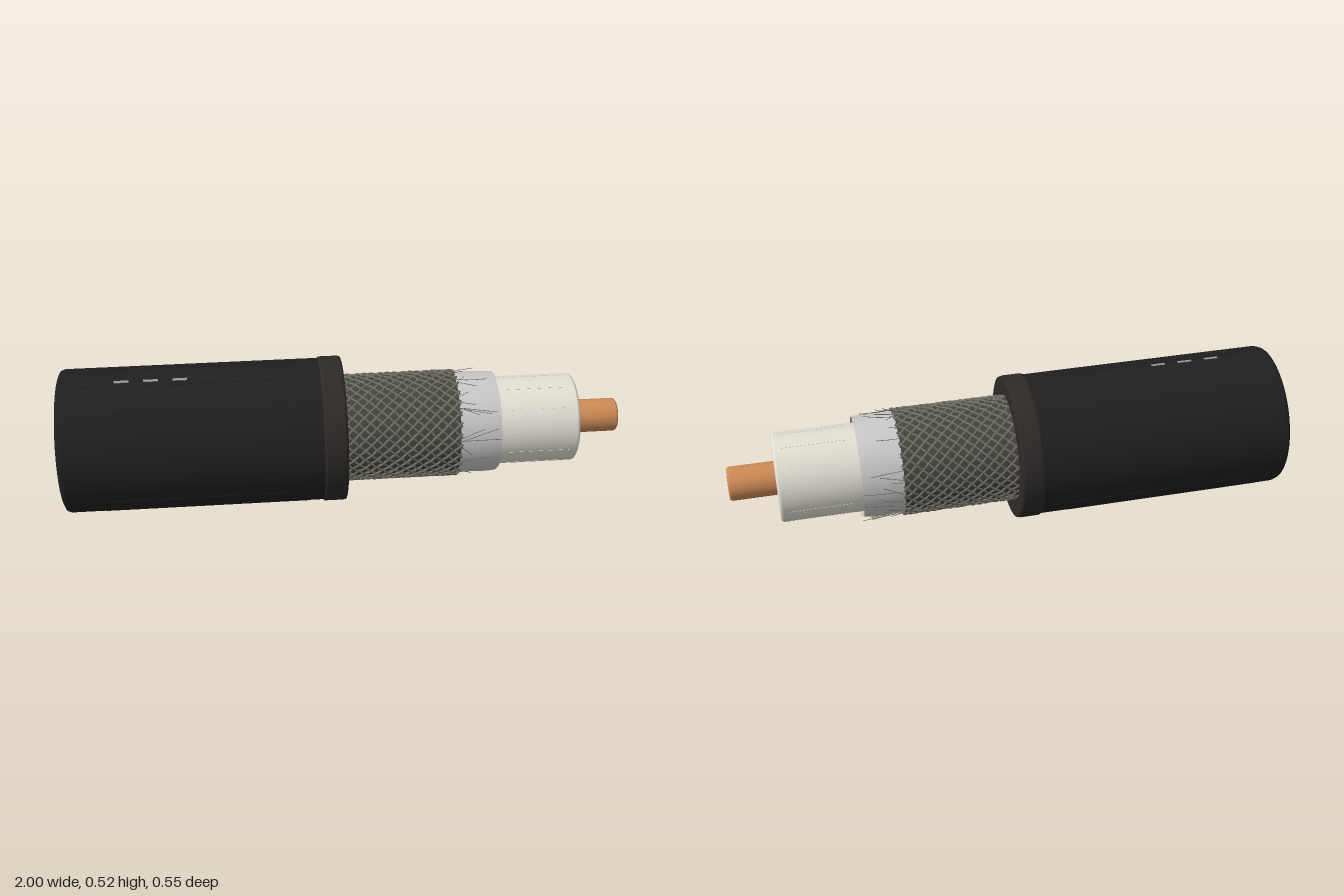
import * as THREE from 'three';
import { mergeGeometries } from 'three/addons/utils/BufferGeometryUtils.js';

const mat = (color, side = THREE.FrontSide) => new THREE.MeshStandardMaterial({ color, side });

// Cable runs along local y; angle 0 is the top, PI/2 the front.
const around = (r, s, a) => new THREE.Vector3(-r * Math.cos(a), s, r * Math.sin(a));

function lathe(name, points, material, segments = 64) {
  const geometry = new THREE.LatheGeometry(points.map(([r, s]) => new THREE.Vector2(r, s)), segments);
  const mesh = new THREE.Mesh(geometry, material);
  mesh.name = name;
  return mesh;
}

// Thin raised strip lying along the cable
function strip(r, s, a, length, width, height) {
  const p = around(r, s, a);
  return new THREE.BoxGeometry(height, length, width).rotateY(a).translate(p.x, p.y, p.z);
}

function merged(name, geometries, material) {
  const mesh = new THREE.Mesh(mergeGeometries(geometries), material);
  mesh.name = name;
  return mesh;
}

function seeded(seed) {
  return () => (seed = (seed * 16807) % 2147483647) / 2147483647;
}

export function createModel() {
  const rand = seeded(77);
  const cable = new THREE.Group();
  cable.name = 'cable';
  const jacketMat = mat(0x202021), wireMat = mat(0x77766c), coreMat = mat(0xe4e2d6);

  // Outer jacket and its thicker cut end
  cable.add(lathe('jacket', [[0, -0.99], [0.235, -0.99], [0.249, -0.984], [0.254, -0.97], [0.254, -0.5], [0.254, -0.05]], jacketMat));
  cable.add(lathe('jacketCollar', [[0.25, -0.085], [0.259, -0.078], [0.259, -0.07], [0.259, -0.012],
    [0.256, -0.002], [0.25, 0], [0.2, 0], [0.192, -0.004], [0.186, -0.02]], mat(0x2d2a28)));

  // Faint lengthwise ridges on the jacket
  const ridges = [];
  for (let i = 0; i < 14; i++) {
    const a = (i + 0.5) / 14 * Math.PI * 2;
    ridges.push(strip(0.254, -0.53 + (rand() - 0.5) * 0.1, a, 0.72, 0.003, 0.002));
  }
  cable.add(merged('jacketRidges', ridges, jacketMat));

  // Three pale dashes on top of the jacket
  const dashes = [-0.765, -0.665, -0.565].map(s => strip(0.2545, s, 0.13, 0.05, 0.011, 0.003));
  cable.add(merged('jacketDashes', dashes, mat(0x9a9a9a)));

  // Woven shield: dark sleeve under two sets of crossing helical wires
  cable.add(lathe('braidSleeve', [[0.185, -0.03], [0.185, 0.2], [0.185, 0.4], [0.178, 0.4]], mat(0x45443e)));
  const wires = [];
  const count = 30, turn = 0.34 * Math.PI * 2;
  for (const dir of [1, -1]) {
    for (let i = 0; i < count; i++) {
      const path = [];
      for (let j = 0; j <= 48; j++) {
        const t = j / 48;
        const weave = dir * Math.cos(t * turn * count + i * Math.PI) * 0.002;
        path.push(around(0.1875 + weave, -0.02 + t * 0.425, i / count * Math.PI * 2 + dir * t * turn));
      }
      wires.push(new THREE.TubeGeometry(new THREE.CatmullRomCurve3(path), 48, 0.0042, 4));
    }
  }
  cable.add(merged('braidWires', wires, wireMat));

  // Loose wire ends fraying over the foil
  const frays = [];
  for (let i = 0; i < 36; i++) {
    const a = rand() * Math.PI * 2, bend = (rand() - 0.5) * 0.5, length = 0.04 + rand() * 0.12;
    const path = [
      around(0.187, 0.39, a),
      around(0.187, 0.39 + length * 0.5, a + bend * 0.5),
      around(0.185 + rand() * 0.012, 0.39 + length, a + bend)
    ];
    frays.push(new THREE.TubeGeometry(new THREE.CatmullRomCurve3(path), 8, 0.0013, 4));
  }
  cable.add(merged('frayedWires', frays, wireMat));

  // Foil wrap: thin open sleeve with a slightly crumpled free edge
  const foil = lathe('foil', [[0.182, 0.38], [0.182, 0.42], [0.181, 0.46], [0.181, 0.5], [0.18, 0.53], [0.179, 0.545]],
    mat(0xdededa, THREE.DoubleSide), 96);
  const pos = foil.geometry.attributes.position;
  for (let i = 0; i < pos.count; i++) {
    const a = Math.atan2(pos.getZ(i), pos.getX(i)), s = pos.getY(i);
    const k = 1 + 0.012 * Math.sin(9 * a + 30 * s) * THREE.MathUtils.smoothstep(s, 0.42, 0.545);
    pos.setXYZ(i, pos.getX(i) * k, s, pos.getZ(i) * k);
  }
  cable.add(foil);

  // Pale insulating core with faint ridges
  cable.add(lathe('insulator', [[0.158, 0.36], [0.158, 0.6], [0.158, 0.82], [0.155, 0.828], [0.148, 0.832], [0, 0.832]], coreMat));
  const coreRidges = [];
  for (let i = 0; i < 12; i++) {
    coreRidges.push(strip(0.158, 0.69, (i + 0.5) / 12 * Math.PI * 2, 0.22, 0.002, 0.0015));
  }
  cable.add(merged('insulatorRidges', coreRidges, coreMat));

  // Copper conductor
  cable.add(lathe('conductor', [[0.06, 0.8], [0.06, 0.9], [0.06, 0.986], [0.058, 0.993], [0.053, 0.996], [0, 0.996]], mat(0xd08c58), 40));

  // Lay the cable down, turned slightly toward the front
  cable.rotation.z = -Math.PI / 2;
  const turned = new THREE.Group();
  turned.name = 'turnedCable';
  turned.add(cable);
  turned.rotation.y = -0.0425;
  turned.position.set(0, 0.26, 0.018);
  const model = new THREE.Group();
  model.name = 'coaxialCable';
  model.add(turned);
  return model;
}
